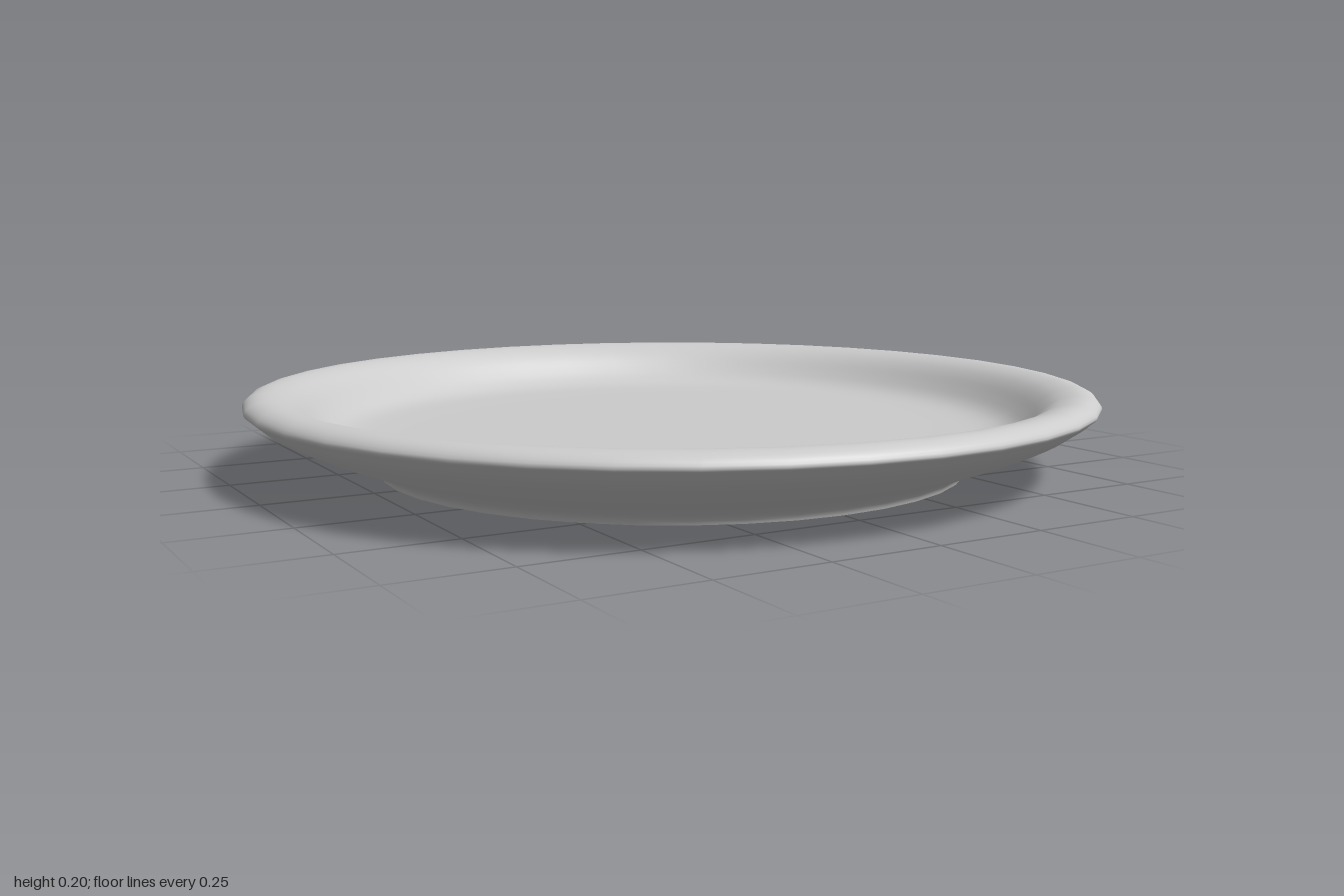
import * as THREE from 'three';

const SEGMENTS = 40;

// Smooth run of profile points through a few [radius, height] pairs
function smoothRun(pairs, divisions) {
  return new THREE.SplineCurve(pairs.map(([r, y]) => new THREE.Vector2(r, y))).getPoints(divisions);
}

function lathePart(name, points, material) {
  const mesh = new THREE.Mesh(new THREE.LatheGeometry(points, SEGMENTS), material);
  mesh.name = name;
  return mesh;
}

export function createModel() {
  const group = new THREE.Group();
  group.name = 'plate';
  const material = new THREE.MeshStandardMaterial({ color: 0xcccccc });

  // Shallow recessed base with a narrow foot ring
  const base = [[0, 0.012], [0.66, 0.012], [0.675, 0.003], [0.685, 0], [0.697, 0]]
    .map(([r, y]) => new THREE.Vector2(r, y));
  group.add(lathePart('base', base, material));

  // Flared underside, rounded rim and dished eating surface
  const body = smoothRun([
    [0.697, 0], [0.705, 0.014], [0.73, 0.03], [0.8, 0.058], [0.88, 0.09], [0.95, 0.126],
    [0.985, 0.153], [0.999, 0.168], [0.988, 0.185], [0.965, 0.195], [0.935, 0.195],
    [0.9, 0.184], [0.87, 0.163], [0.84, 0.133], [0.81, 0.108], [0.77, 0.093],
    [0.7, 0.087], [0.55, 0.085],
  ], 51);
  body.push(new THREE.Vector2(0, 0.084));
  group.add(lathePart('body', body, material));

  return group;
}
